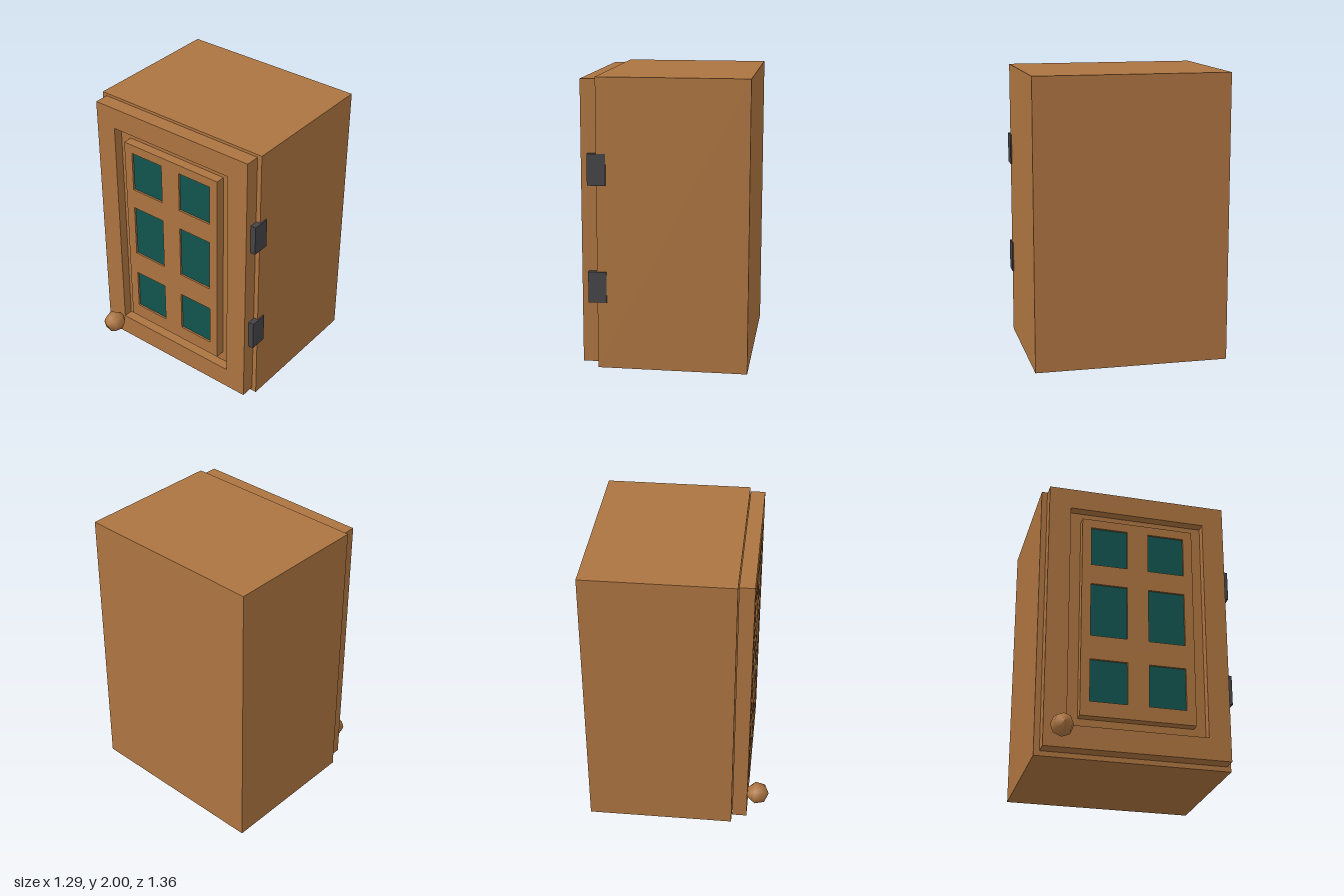
import * as THREE from 'three';

export function createModel() {
  const group = new THREE.Group();
  const make = (name, color) => {
    const m = new THREE.MeshStandardMaterial({ color });
    m.name = name;
    return m;
  };
  const wood = make('wood', 0xad7440);
  const iron = make('iron', 0x444448);
  const glass = make('glass', 0x11544f);

  const add = (name, geo, mat, parent = group) => {
    const mesh = new THREE.Mesh(geo, mat);
    mesh.name = name;
    parent.add(mesh);
    return mesh;
  };

  // box given by its extents on each axis
  const block = (name, [x0, x1], [y0, y1], [z0, z1], mat, parent) => {
    const mesh = add(name, new THREE.BoxGeometry(x1 - x0, y1 - y0, z1 - z0), mat, parent);
    mesh.position.set((x0 + x1) / 2, (y0 + y1) / 2, (z0 + z1) / 2);
    return mesh;
  };

  // board in the z-y plane with rectangular openings, from x = xBack out to x = xFront
  const trace = (path, [z0, z1], [y0, y1]) =>
    path.moveTo(z0, y0).lineTo(z1, y0).lineTo(z1, y1).lineTo(z0, y1).closePath();
  const piercedBoard = (name, zs, ys, openings, xBack, xFront, parent) => {
    const shape = trace(new THREE.Shape(), zs, ys);
    for (const [hz, hy] of openings) shape.holes.push(trace(new THREE.Path(), hz, hy));
    const geo = new THREE.ExtrudeGeometry(shape, { depth: xBack - xFront, bevelEnabled: false });
    geo.rotateY(-Math.PI / 2);
    add(name, geo, wood, parent).position.x = xBack;
  };

  // cabinet body
  block('cabinetBody', [-0.384, 0.642], [0, 2], [-0.679, 0.67], wood);

  // door: backing, raised rim, inner panel with six panes
  const door = new THREE.Group();
  door.name = 'door';
  group.add(door);
  const face = -0.492, floor = -0.425, paneBack = -0.473;
  const doorZ = [-0.64, 0.64], doorY = [0.033, 1.984];
  block('doorBacking', [floor, -0.389], doorY, doorZ, wood, door);
  piercedBoard('doorRim', doorZ, doorY, [[[-0.485, 0.485], [0.19, 1.83]]], floor, face, door);

  const panelZ = [-0.4, 0.4], panelY = [0.265, 1.755];
  block('panelCore', [paneBack, floor], panelY, panelZ, wood, door);
  const panes = [];
  for (const z of [[-0.335, -0.075], [0.075, 0.335]])
    for (const y of [[0.37, 0.675], [0.85, 1.245], [1.395, 1.69]]) panes.push([z, y]);
  piercedBoard('windowGrid', panelZ, panelY, panes, paneBack, face, door);
  for (const [z, y] of panes) block('windowPane', [paneBack - 0.005, paneBack], y, z, glass, door);

  // faceted round knob, turned about the x axis
  const profile = [];
  for (let i = 0; i <= 3; i++) {
    const a = (i * 2 * Math.PI) / 7;
    profile.push(new THREE.Vector2(i ? 0.08 * Math.sin(a) : 0, 0.08 * Math.cos(a)));
  }
  profile.push(new THREE.Vector2(0, 0.08 * Math.cos((6 * Math.PI) / 7)));
  const knob = add('doorKnob', new THREE.LatheGeometry(profile.reverse(), 8), wood, door);
  knob.rotation.z = Math.PI / 2;
  knob.position.set(-0.563, 0.16, -0.528);

  // hinges: plate over the joint and a leaf inside it
  for (const y of [[0.465, 0.68], [1.275, 1.49]]) {
    block('hingePlate', [-0.445, -0.32], y, [0.635, 0.679], iron);
    block('hingeLeaf', [-0.39, -0.383], y, [0.55, 0.636], iron);
  }
  return group;
}
